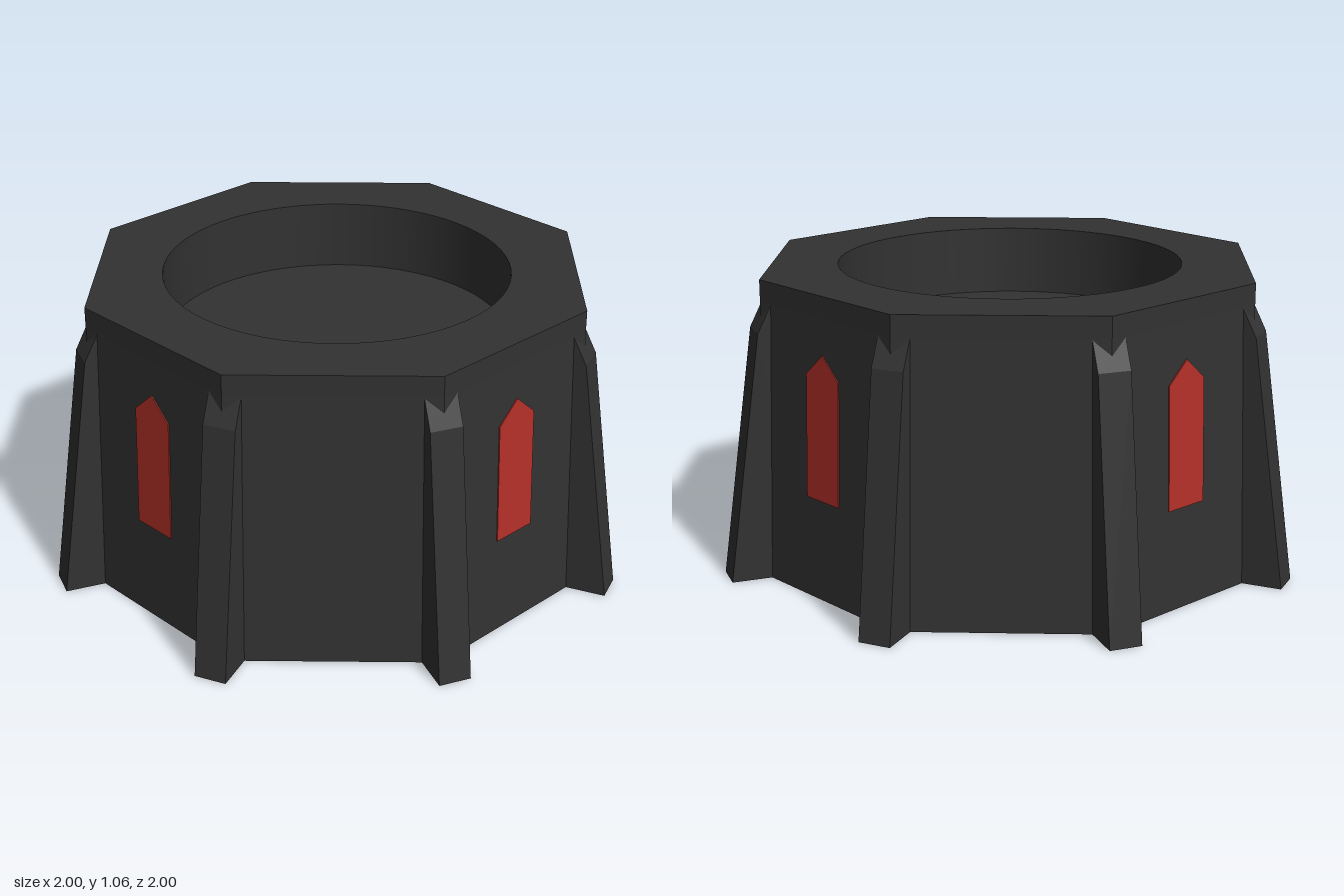
import * as THREE from 'three';

const HEIGHT = 1.06, HOLE = 0.61, DEPTH = 0.25;
const BOTTOM = 0.868, TOP = 0.84, KINK = 0.985; // wall distances from the axis, height where the wall turns upright
const corner = (apothem) => apothem / Math.cos(Math.PI / 8);

export function createModel() {
  const dark = new THREE.MeshStandardMaterial({ color: 0x323232 });
  dark.name = 'charcoal';
  const red = new THREE.MeshStandardMaterial({ color: 0xb43028 });
  red.name = 'red';

  const model = new THREE.Group();
  model.name = 'octagonalBase';
  const add = (parent, name, geometry, material) => {
    const mesh = new THREE.Mesh(geometry, material);
    mesh.name = name;
    parent.add(mesh);
    return mesh;
  };

  // Eight-sided outer wall, tapered with an upright rim
  const profile = [[BOTTOM, 0], [TOP, KINK], [TOP, HEIGHT]]
    .map(([a, y]) => new THREE.Vector2(corner(a), y));
  const wall = new THREE.LatheGeometry(profile, 8, Math.PI / 8).toNonIndexed();
  wall.computeVertexNormals();
  add(model, 'outerWall', wall, dark);

  // Octagonal face with a round recess, used for top and underside
  const addEnd = (name, apothem) => {
    const end = new THREE.Group();
    end.name = name;
    const shape = new THREE.Shape();
    for (let i = 0; i < 8; i++) {
      const a = (i + 0.5) * Math.PI / 4, r = corner(apothem);
      shape[i ? 'lineTo' : 'moveTo'](r * Math.cos(a), r * Math.sin(a));
    }
    shape.closePath();
    shape.holes.push(new THREE.Path().absarc(0, 0, HOLE, 0, Math.PI * 2, true));
    add(end, name + 'Face', new THREE.ShapeGeometry(shape, 32).rotateX(-Math.PI / 2), dark);
    const side = [new THREE.Vector2(HOLE, 0), new THREE.Vector2(HOLE, -DEPTH)];
    add(end, name + 'RecessWall', new THREE.LatheGeometry(side, 64), dark);
    add(end, name + 'RecessFloor', new THREE.CircleGeometry(HOLE, 64).rotateX(-Math.PI / 2), dark).position.y = -DEPTH;
    model.add(end);
    return end;
  };
  addEnd('top', TOP).position.y = HEIGHT;
  addEnd('underside', BOTTOM).rotation.x = Math.PI;

  // Buttress on each corner
  const finShape = new THREE.Shape([[0.8, 0], [1.058, 0], [0.934, 0.885], [0.884, 0.985], [0.8, 0.985]]
    .map(([r, y]) => new THREE.Vector2(r, y)));
  const finGeometry = new THREE.ExtrudeGeometry(finShape, { depth: 0.114, bevelEnabled: false });
  finGeometry.translate(0, 0, -0.057);
  for (let i = 0; i < 8; i++) {
    add(model, 'buttress' + (i + 1), finGeometry, dark).rotation.y = (i + 0.5) * Math.PI / 4;
  }

  // Pointed red panels on the four main sides
  const panelShape = new THREE.Shape([[-0.085, 0.355], [0.085, 0.355], [0.085, 0.785], [0, 0.86], [-0.085, 0.785]]
    .map(([x, y]) => new THREE.Vector2(x, y)));
  const panelGeometry = new THREE.ExtrudeGeometry(panelShape, { depth: 0.004, bevelEnabled: false });
  ['front', 'left', 'back', 'right'].forEach((side, i) => {
    const holder = new THREE.Group();
    holder.name = side + 'Panel';
    holder.rotation.y = i * Math.PI / 2;
    const panel = add(holder, side + 'PanelPlate', panelGeometry, red);
    panel.position.z = BOTTOM;
    panel.rotation.x = -Math.atan((BOTTOM - TOP) / KINK);
    model.add(holder);
  });

  return model;
}
